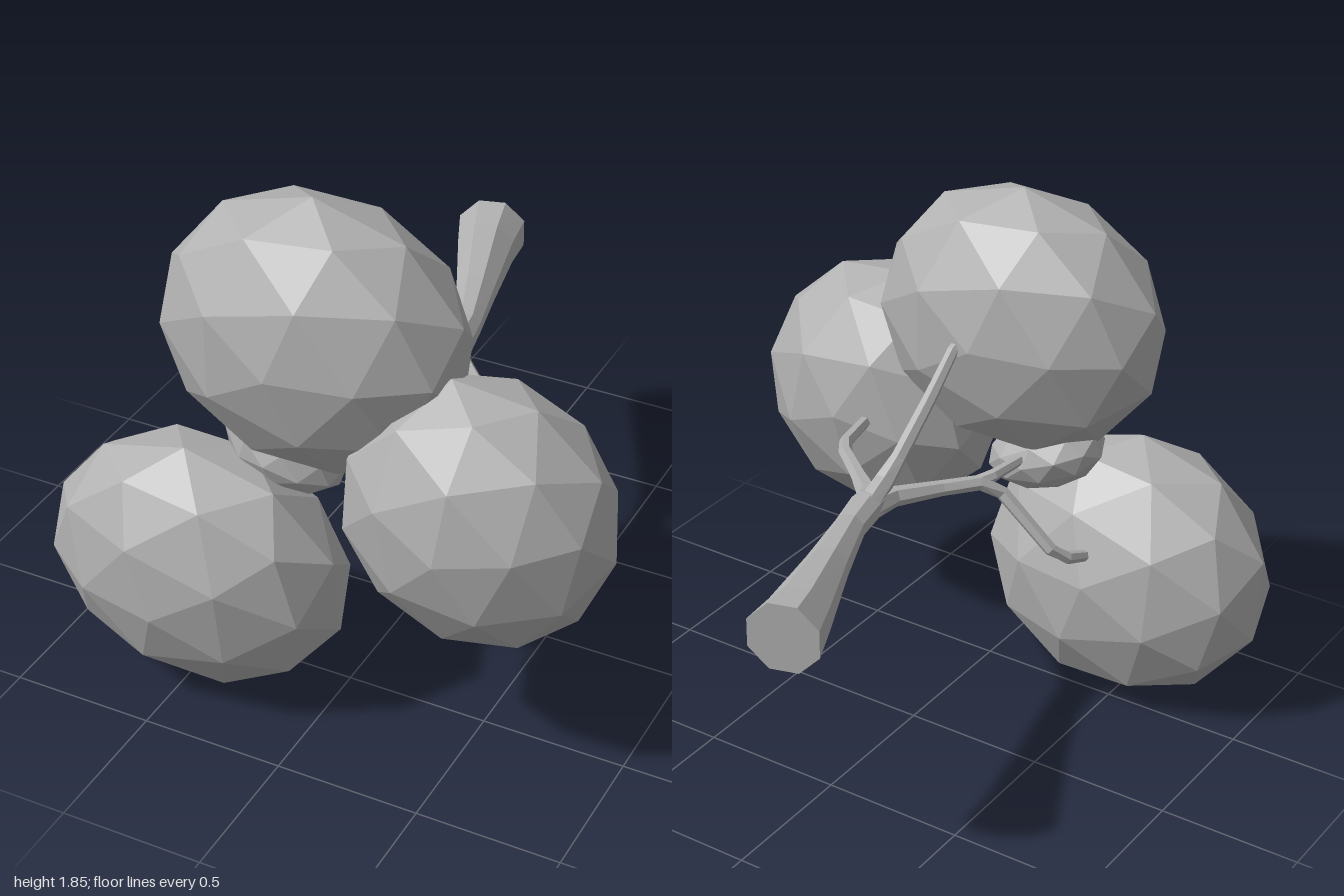
import * as THREE from 'three';

const rad = THREE.MathUtils.degToRad;

// Faceted ball with a five-sided pole facing +z, stretched, tilted and placed
function ball(name, material, position, radii, spin, tilt = 0, roll = 0) {
  const g = new THREE.IcosahedronGeometry(1, 1);
  g.rotateX(Math.atan(2 / (1 + Math.sqrt(5))));
  g.rotateZ(rad(spin));
  g.scale(...radii);
  g.rotateX(rad(tilt));
  g.rotateZ(rad(roll));
  g.translate(...position);
  g.computeVertexNormals();
  const mesh = new THREE.Mesh(g, material);
  mesh.name = name;
  return mesh;
}

// Tapered faceted branch; each station is [x, y, z, radius]
function branch(name, material, stations, sides) {
  const centres = stations.map(s => new THREE.Vector3(s[0], s[1], s[2]));
  const n = stations.length;
  const pos = [];
  const index = [];
  centres.forEach((c, i) => {
    const dir = centres[Math.min(i + 1, n - 1)].clone().sub(centres[Math.max(i - 1, 0)]).normalize();
    const side = new THREE.Vector3(0.95, 0, 0.3).cross(dir).normalize();
    const up = dir.clone().cross(side);
    for (let j = 0; j < sides; j++) {
      const a = ((j + 0.5) / sides) * Math.PI * 2;
      const p = c.clone()
        .addScaledVector(side, Math.cos(a) * stations[i][3])
        .addScaledVector(up, Math.sin(a) * stations[i][3]);
      pos.push(p.x, p.y, p.z);
    }
  });
  for (let i = 0; i < n - 1; i++) {
    for (let j = 0; j < sides; j++) {
      const k = (j + 1) % sides;
      const a = i * sides + j, b = i * sides + k;
      index.push(a, b, b + sides, a, b + sides, a + sides);
    }
  }
  // End caps
  const last = (n - 1) * sides;
  for (let j = 1; j < sides - 1; j++) {
    index.push(0, j + 1, j, last, last + j, last + j + 1);
  }
  const g = new THREE.BufferGeometry();
  g.setAttribute('position', new THREE.Float32BufferAttribute(pos, 3));
  g.setIndex(index);
  const flat = g.toNonIndexed();
  flat.computeVertexNormals();
  const mesh = new THREE.Mesh(flat, material);
  mesh.name = name;
  return mesh;
}

export function createModel() {
  const grey = new THREE.MeshStandardMaterial({ color: 0xb0b0b0 });
  grey.name = 'plain grey';
  const model = new THREE.Group();
  model.name = 'leafyBranch';

  // Foliage clumps
  const foliage = new THREE.Group();
  foliage.name = 'foliage';
  foliage.add(
    ball('topClump', grey, [-0.09, 1.375, 0.52], [0.538, 0.474, 0.34], 90),
    ball('leftClump', grey, [0.513, 0.927, 0.59], [0.466, 0.466, 0.337], 102),
    ball('lowerClump', grey, [-0.468, 0.473, 0.66], [0.538, 0.474, 0.338], -90, 8),
    ball('smallClump', grey, [-0.215, 0.905, 0.5], [0.225, 0.125, 0.165], 90, 0, -20)
  );
  model.add(foliage);

  // Main bough and the twigs that carry the clumps
  const wood = new THREE.Group();
  wood.name = 'wood';
  wood.add(
    branch('bough', grey, [
      [-0.195, 0.928, -1, 0.128], [-0.155, 0.928, -0.86, 0.107],
      [-0.06, 0.93, -0.58, 0.073], [0.015, 0.935, -0.35, 0.053],
      [0.04, 0.945, -0.22, 0.058], [0.045, 0.945, -0.1, 0.038]
    ], 8),
    branch('leftTwig', grey, [
      [0.03, 0.94, -0.24, 0.045], [0.09, 0.94, -0.14, 0.038], [0.18, 0.935, -0.06, 0.028],
      [0.33, 0.93, 0.07, 0.024], [0.37, 0.93, 0.13, 0.024], [0.405, 0.93, 0.32, 0.022]
    ], 6),
    branch('upperTwig', grey, [
      [0.025, 0.94, -0.27, 0.04], [0.03, 1.0, -0.13, 0.036], [0.02, 1.06, -0.06, 0.027],
      [-0.01, 1.23, 0.08, 0.024], [-0.03, 1.37, 0.19, 0.02], [-0.035, 1.39, 0.23, 0.018]
    ], 6),
    branch('lowerTwig', grey, [
      [0.03, 0.94, -0.22, 0.045], [0.01, 0.935, -0.1, 0.035], [-0.08, 0.925, 0.05, 0.027],
      [-0.16, 0.92, 0.16, 0.027], [-0.22, 0.875, 0.21, 0.025],
      [-0.40, 0.70, 0.235, 0.023], [-0.44, 0.66, 0.28, 0.023], [-0.46, 0.635, 0.36, 0.02]
    ], 6),
    branch('smallTwig', grey, [
      [-0.14, 0.92, 0.13, 0.022], [-0.18, 0.93, 0.21, 0.022], [-0.2, 0.93, 0.38, 0.018]
    ], 6)
  );
  model.add(wood);
  return model;
}
